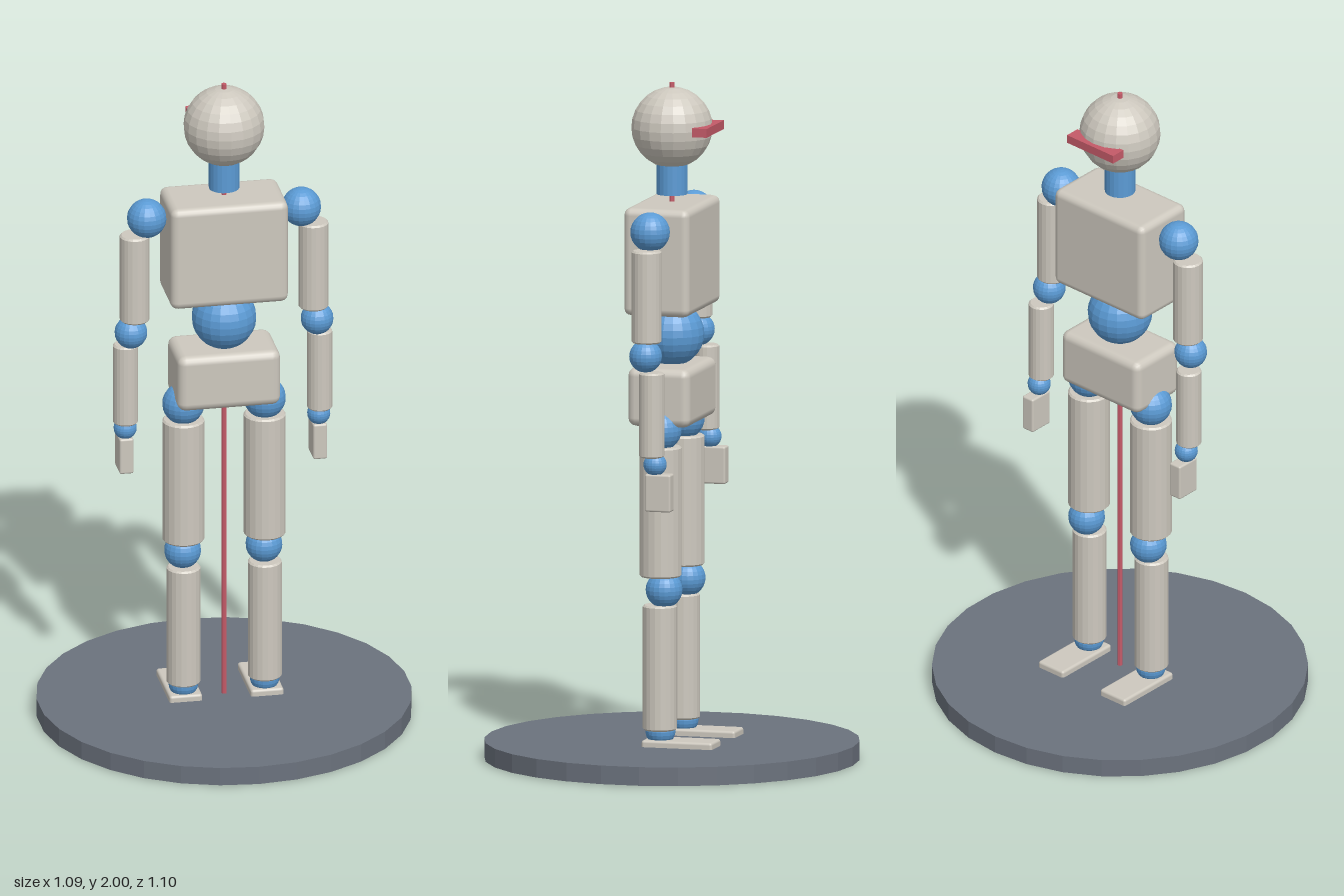
import * as THREE from 'three';
import { RoundedBoxGeometry } from 'three/addons/geometries/RoundedBoxGeometry.js';

const material = (name, color) => {
  const m = new THREE.MeshStandardMaterial({ color });
  m.name = name;
  return m;
};

// Faceted normals
const faceted = (geometry) => {
  const g = geometry.index ? geometry.toNonIndexed() : geometry;
  g.computeVertexNormals();
  return g;
};

export function createModel() {
  const model = new THREE.Group();
  model.name = 'jointedMannequin';
  const shell = material('warm grey shell', 0xcdc8be);
  const joint = material('blue joint', 0x5b9bd5);
  const accent = material('red accent', 0xc45a68);
  const stone = material('slate base', 0x6b727d);

  const add = (name, geometry, mat, x, y, z) => {
    const mesh = new THREE.Mesh(geometry, mat);
    mesh.name = name;
    mesh.position.set(x, y, z);
    model.add(mesh);
  };
  const ball = (name, mat, r, x, y, z = 0) =>
    add(name, faceted(new THREE.SphereGeometry(r, 20, 14)), mat, x, y, z);
  const tube = (name, mat, r, y0, y1, x = 0, z = 0, sides = 20) =>
    add(name, faceted(new THREE.CylinderGeometry(r, r, y1 - y0, sides)), mat, x, (y0 + y1) / 2, z);
  const block = (name, mat, w, y0, y1, z0, z1, bevel, x = 0) =>
    add(name, new RoundedBoxGeometry(w, y1 - y0, z1 - z0, 2, bevel), mat, x, (y0 + y1) / 2, (z0 + z1) / 2);

  // Limb segment with a small bevel at both ends
  const limb = (name, r, y0, y1, x, z) => {
    const h = (y1 - y0) / 2, b = 0.005;
    const profile = [[0, -h], [r - b, -h], [r, -h + b], [r, h - b], [r - b, h], [0, h]];
    const g = new THREE.LatheGeometry(profile.map(([px, py]) => new THREE.Vector2(px, py)), 20);
    add(name, faceted(g), shell, x, (y0 + y1) / 2, z);
  };

  // Stand and central rod
  tube('base', stone, 0.55, 0.002, 0.057, 0, 0, 30);
  tube('supportRod', accent, 0.008, 0, 2, 0, 0, 8);

  // Head and torso, facing -z
  ball('head', shell, 0.119, 0, 1.867);
  add('visor', new THREE.BoxGeometry(0.18, 0.026, 0.045), accent, 0, 1.867, -0.109);
  tube('neck', joint, 0.045, 1.67, 1.77);
  block('chest', shell, 0.35, 1.33, 1.648, -0.1, 0.1, 0.022);
  ball('waist', joint, 0.095, 0, 1.257);
  block('pelvis', shell, 0.306, 1.0, 1.173, -0.095, 0.095, 0.025);

  for (const [side, s] of [['left', -1], ['right', 1]]) {
    // Arm
    ball(side + 'Shoulder', joint, 0.058, s * 0.23, 1.59);
    limb(side + 'UpperArm', 0.044, 1.268, 1.541, s * 0.266, 0);
    ball(side + 'Elbow', joint, 0.048, s * 0.277, 1.23);
    limb(side + 'Forearm', 0.037, 0.934, 1.185, s * 0.289, -0.022);
    ball(side + 'Wrist', joint, 0.034, s * 0.288, 0.913, -0.032);
    block(side + 'Hand', shell, 0.042, 0.775, 0.886, -0.084, -0.006, 0.006, s * 0.288);

    // Leg
    ball(side + 'Hip', joint, 0.062, s * 0.121, 0.99);
    limb(side + 'Thigh', 0.062, 0.557, 0.942, s * 0.121, 0);
    ball(side + 'Knee', joint, 0.054, s * 0.121, 0.518, -0.011);
    limb(side + 'Shin', 0.05, 0.103, 0.473, s * 0.121, 0.002);
    ball(side + 'Ankle', joint, 0.044, s * 0.121, 0.1);
    block(side + 'Foot', shell, 0.098, 0.045, 0.077, -0.17, 0.045, 0.008, s * 0.121);
  }
  return model;
}
